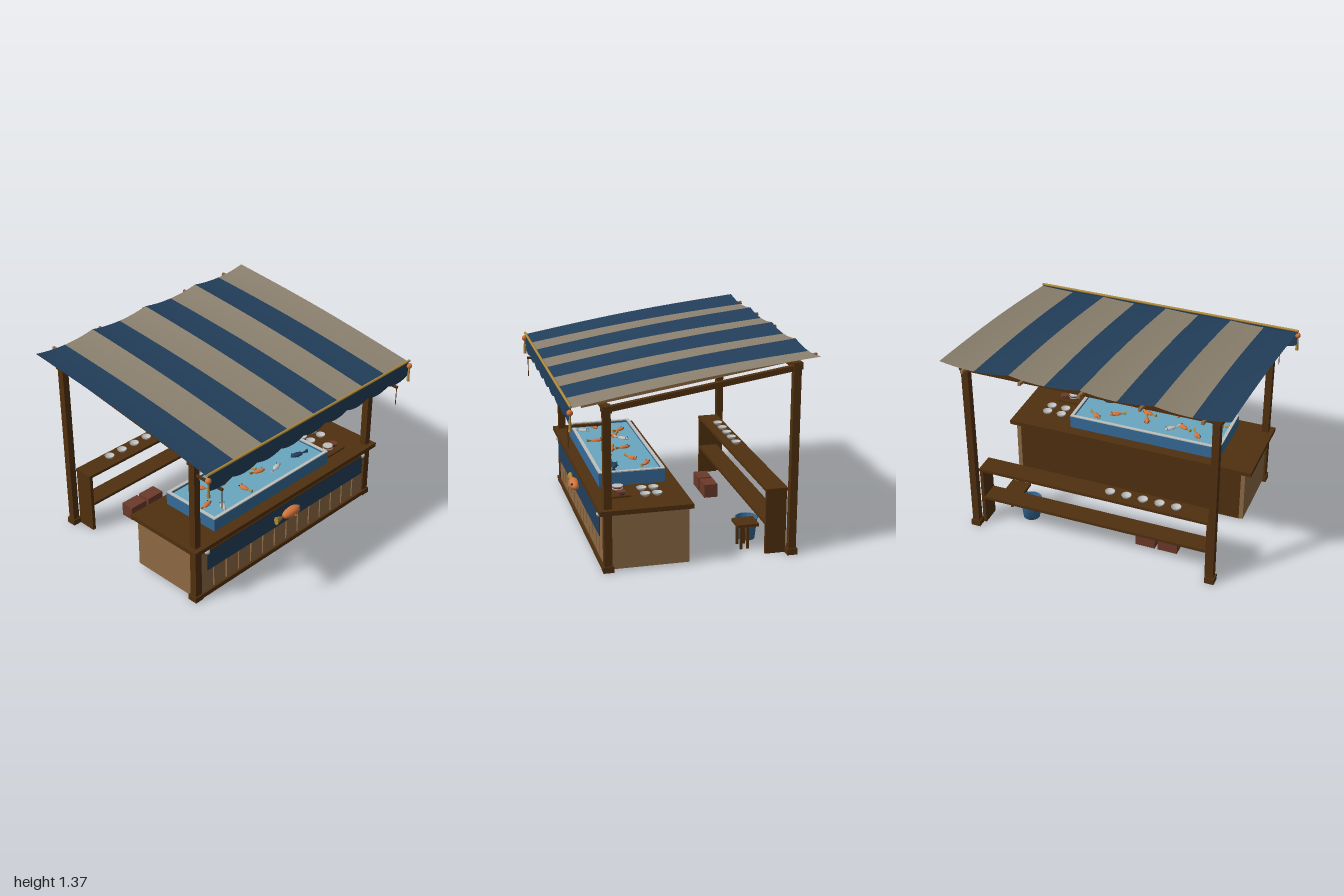
import * as THREE from 'three';

const mat = (name, color) => {
  const m = new THREE.MeshStandardMaterial({ color, side: THREE.DoubleSide });
  m.name = name;
  return m;
};

export function createModel() {
  const root = new THREE.Group();
  root.name = 'fishStall';
  const wood = mat('dark wood', 0x50300f), tan = mat('tan wood', 0x8e6a45);
  const canvas = mat('cream canvas', 0x8c816f), navy = mat('navy cloth', 0x233f5b);
  const blue = mat('tub blue', 0x356b99), water = mat('water', 0x6aa6c0);
  const orange = mat('orange', 0xd4733a), gold = mat('gold', 0xb08a3a);
  const white = mat('pale grey', 0xbfc0bd), red = mat('red brown', 0x6b3a2a);

  const add = (name, geo, material, x = 0, y = 0, z = 0, parent = root) => {
    const m = new THREE.Mesh(geo, material);
    m.name = name;
    m.position.set(x, y, z);
    parent.add(m);
    return m;
  };
  // box given by its limits
  const box = (name, material, x0, x1, y0, y1, z0, z1) =>
    add(name, new THREE.BoxGeometry(x1 - x0, y1 - y0, z1 - z0), material,
      (x0 + x1) / 2, (y0 + y1) / 2, (z0 + z1) / 2);
  // bar between two points
  const beam = (name, material, a, b, w, h) => {
    const p = new THREE.Vector3(...a), q = new THREE.Vector3(...b);
    const mid = p.clone().add(q).multiplyScalar(0.5);
    const m = add(name, new THREE.BoxGeometry(w, h, p.distanceTo(q)), material, mid.x, mid.y, mid.z);
    m.lookAt(q);
    return m;
  };
  const rodX = (name, material, r, half, y, z) => {
    const m = add(name, new THREE.CylinderGeometry(r, r, half * 2, 10), material, 0, y, z);
    m.rotation.z = Math.PI / 2;
  };

  // Posts, feet and side beams
  for (const s of [-1, 1]) {
    const x = 0.86 * s;
    for (const [z, h] of [[0.563, 1.09], [-0.67, 1.29]]) {
      box('post', wood, x - 0.024, x + 0.024, 0, h, z - 0.025, z + 0.025);
      box('postFoot', wood, x - 0.033, x + 0.033, 0, 0.042, z - 0.035, z + 0.035);
      box('postCap', wood, x - 0.034, x + 0.034, h - 0.025, h + 0.02, z - 0.03, z + 0.03);
    }
    beam('sideBeam', wood, [x, 1.08, 0.58], [x, 1.275, -0.69], 0.035, 0.035);
    // Hook arm with a thin hanging rod
    box('hookArm', wood, x - 0.008, x + 0.008, 0.983, 0.998, 0.56, 0.81);
    add('hangingRod', new THREE.CylinderGeometry(0.003, 0.003, 0.14, 6), wood, x, 0.92, 0.803);
  }
  box('frontCrossBeam', wood, -0.9, 0.9, 1.07, 1.108, 0.543, 0.583);
  box('rearCrossBeam', wood, -0.9, 0.9, 1.26, 1.3, -0.69, -0.65);
  for (let i = -2; i <= 2; i++)
    beam('rafter', tan, [i * 0.405, 1.1, 0.71], [i * 0.405, 1.335, -0.82], 0.018, 0.02);

  // Striped awning, sagging between its high lines
  for (let i = 0; i < 8; i++) {
    const g = new THREE.PlaneGeometry(0.245, 1.58, 8, 16);
    g.rotateX(-Math.PI / 2);
    g.translate(-0.98 + 0.245 * (i + 0.5), 0, 0);
    const p = g.attributes.position;
    for (let k = 0; k < p.count; k++) {
      const t = (0.79 - p.getZ(k)) / 1.58;
      const u = THREE.MathUtils.euclideanModulo((p.getX(k) + 0.98) / 0.49, 1);
      p.setY(k, 1.143 + 0.222 * t + 0.018 * Math.sin(Math.PI * t)
        - 4 * u * (1 - u) * 0.025 * (0.3 + 0.7 * t));
    }
    g.computeVertexNormals();
    add('awningStripe', g, i % 2 ? canvas : navy);
  }

  // Scalloped valance on a rod with end knobs and tassels
  const v = new THREE.Shape();
  v.moveTo(0.98, 1.15);
  v.lineTo(-0.98, 1.15);
  v.lineTo(-0.98, 1.035);
  const n = 9, w = 1.96 / n;
  for (let i = 0; i < n; i++)
    v.quadraticCurveTo(-0.98 + w * (i + 0.5), 0.992, -0.98 + w * (i + 1), 1.035);
  add('valance', new THREE.ShapeGeometry(v, 8), navy, 0, 0, 0.8);
  rodX('awningRod', gold, 0.009, 0.985, 1.15, 0.802);
  for (const s of [-1, 1]) {
    add('tasselKnob', new THREE.SphereGeometry(0.02, 16, 12), orange, 0.98 * s, 1.113, 0.808);
    add('tassel', new THREE.CylinderGeometry(0.005, 0.012, 0.1, 10), gold, 0.98 * s, 1.045, 0.808);
  }

  // Counter
  box('counterBody', wood, -0.845, 0.845, 0.005, 0.4, 0.035, 0.57);
  for (const s of [-1, 1])
    box('counterSide', tan, s * 0.855 - 0.015, s * 0.855 + 0.015, 0.015, 0.388, 0.028, 0.584);
  for (const s of [-1, 1])
    box('cornerPost', wood, s * 0.858 - 0.027, s * 0.858 + 0.027, 0.03, 0.4, 0.56, 0.59);
  box('counterSill', wood, -0.89, 0.89, 0.01, 0.042, 0.545, 0.6);
  box('counterTop', wood, -0.915, 0.915, 0.4, 0.431, 0.01, 0.622);
  for (let i = 0; i < 14; i++) {
    const x = -0.83 + i * 0.1187;
    box('frontPlank', tan, x, x + 0.106, 0.03, 0.375 + 0.006 * ((i * 2) % 3), 0.565, 0.585);
  }

  // Cloth banner on a rod
  box('banner', navy, -0.79, 0.79, 0.22, 0.372, 0.598, 0.604);
  rodX('bannerRod', wood, 0.008, 0.8, 0.372, 0.6);
  for (const s of [-1, 1])
    add('rodKnob', new THREE.SphereGeometry(0.019, 14, 10), white, 0.79 * s, 0.372, 0.602);

  // Fish facing +x, of unit length 1
  const fish = (name, body, tail, x, y, z, size, angle, depth) => {
    const g = new THREE.Group();
    g.name = name;
    const b = add('fishBody', new THREE.SphereGeometry(0.5, 18, 12), body, 0, 0, 0, g);
    b.scale.set(1, depth, 0.44);
    const t = add('fishTail', new THREE.ConeGeometry(0.2, 0.5, 8), tail, -0.65, 0, 0, g);
    t.rotation.z = -Math.PI / 2;
    t.scale.z = 0.55;
    for (const s of [-1, 1]) {
      add('fishEye', new THREE.SphereGeometry(0.05, 8, 6), navy, 0.33, 0.1, 0.15 * s, g);
      const f = add('fishFin', new THREE.ConeGeometry(0.08, 0.25, 6), tail, 0, -0.06, 0.22 * s, g);
      f.rotation.x = s * 1.3;
    }
    g.position.set(x, y, z);
    g.rotation.y = angle;
    g.scale.setScalar(size);
    root.add(g);
  };
  fish('bannerFish', orange, gold, 0, 0.294, 0.625, 0.172, 0, 0.44);

  // Tub with pale rim and water
  box('tubFloor', blue, -0.65, 0.46, 0.431, 0.45, 0.1, 0.53);
  for (const [x0, x1, z0, z1] of [[-0.66, 0.47, 0.09, 0.112], [-0.66, 0.47, 0.518, 0.54],
    [-0.66, -0.638, 0.112, 0.518], [0.448, 0.47, 0.112, 0.518]]) {
    box('tubWall', blue, x0, x1, 0.431, 0.522, z0, z1);
    box('tubRim', white, x0, x1, 0.522, 0.529, z0, z1);
  }
  box('tubWater', water, -0.638, 0.448, 0.45, 0.51, 0.112, 0.518);
  const swimmers = [[-0.56, 0.37, orange, 0.2], [-0.46, 0.2, orange, 2.2], [-0.33, 0.27, orange, -0.5],
    [-0.25, 0.41, orange, 1.6], [-0.25, 0.22, white, 0.8], [-0.06, 0.25, orange, 1.9],
    [-0.03, 0.35, orange, -0.3], [0.09, 0.4, white, 0.3], [0.18, 0.25, orange, 0.5],
    [0.3, 0.4, navy, 2.9], [0.3, 0.18, orange, 2.5], [-0.5, 0.46, white, 1]];
  for (const [x, z, c, a] of swimmers)
    fish('swimmingFish', c, c === orange ? gold : c, x, 0.515, z, c === navy ? 0.1 : 0.085, a, 0.3);

  // Bowls on the counter and shelf
  const bowlGeo = new THREE.LatheGeometry([[0, 0], [0.018, 0], [0.03, 0.01], [0.035, 0.022],
    [0.031, 0.022], [0.024, 0.011], [0, 0.006]].map(([x, y]) => new THREE.Vector2(x, y)), 18);
  for (const x of [0.59, 0.7]) for (const z of [0.2, 0.28]) add('bowl', bowlGeo, white, x, 0.431, z);
  for (let i = 0; i < 5; i++) add('shelfBowl', bowlGeo, white, -0.11 - i * 0.117, 0.455, -0.58);

  // Tray with stacked dishes
  box('tray', wood, 0.5, 0.7, 0.431, 0.443, 0.375, 0.505);
  for (let i = 0; i < 4; i++) {
    add('dish', new THREE.CylinderGeometry(0.036, 0.034, 0.006, 18), i % 2 ? white : red,
      0.59, 0.449 + i * 0.009, 0.44);
    add('dish', new THREE.CylinderGeometry(0.03, 0.028, 0.006, 18), red, 0.66, 0.446 + i * 0.005, 0.43);
  }

  // Rear shelf unit
  for (const s of [-1, 1])
    box('shelfEnd', wood, s * 0.82 - 0.012, s * 0.82 + 0.012, 0, 0.44, -0.64, -0.5);
  box('upperShelf', wood, -0.835, 0.835, 0.435, 0.455, -0.645, -0.498);
  box('lowerShelf', wood, -0.82, 0.82, 0.2, 0.22, -0.64, -0.5);

  // Bucket
  add('bucket', new THREE.LatheGeometry([[0, 0.004], [0.058, 0.004], [0.075, 0.155], [0.07, 0.155],
    [0.054, 0.02], [0, 0.02]].map(([x, y]) => new THREE.Vector2(x, y)), 24), blue, 0.54, 0, -0.46);
  const rim = add('bucketRim', new THREE.TorusGeometry(0.074, 0.005, 8, 24), blue, 0.54, 0.152, -0.46);
  rim.rotation.x = Math.PI / 2;

  // Stool
  box('stoolSeat', wood, 0.6, 0.74, 0.16, 0.18, -0.485, -0.335);
  for (const x of [0.625, 0.715]) for (const z of [-0.37, -0.415])
    box('stoolLeg', wood, x - 0.008, x + 0.008, 0, 0.16, z - 0.008, z + 0.008);

  // Crates
  for (const x of [-0.33, -0.49]) box('crate', red, x - 0.07, x + 0.07, 0, 0.1, -0.49, -0.39);
  return root;
}
